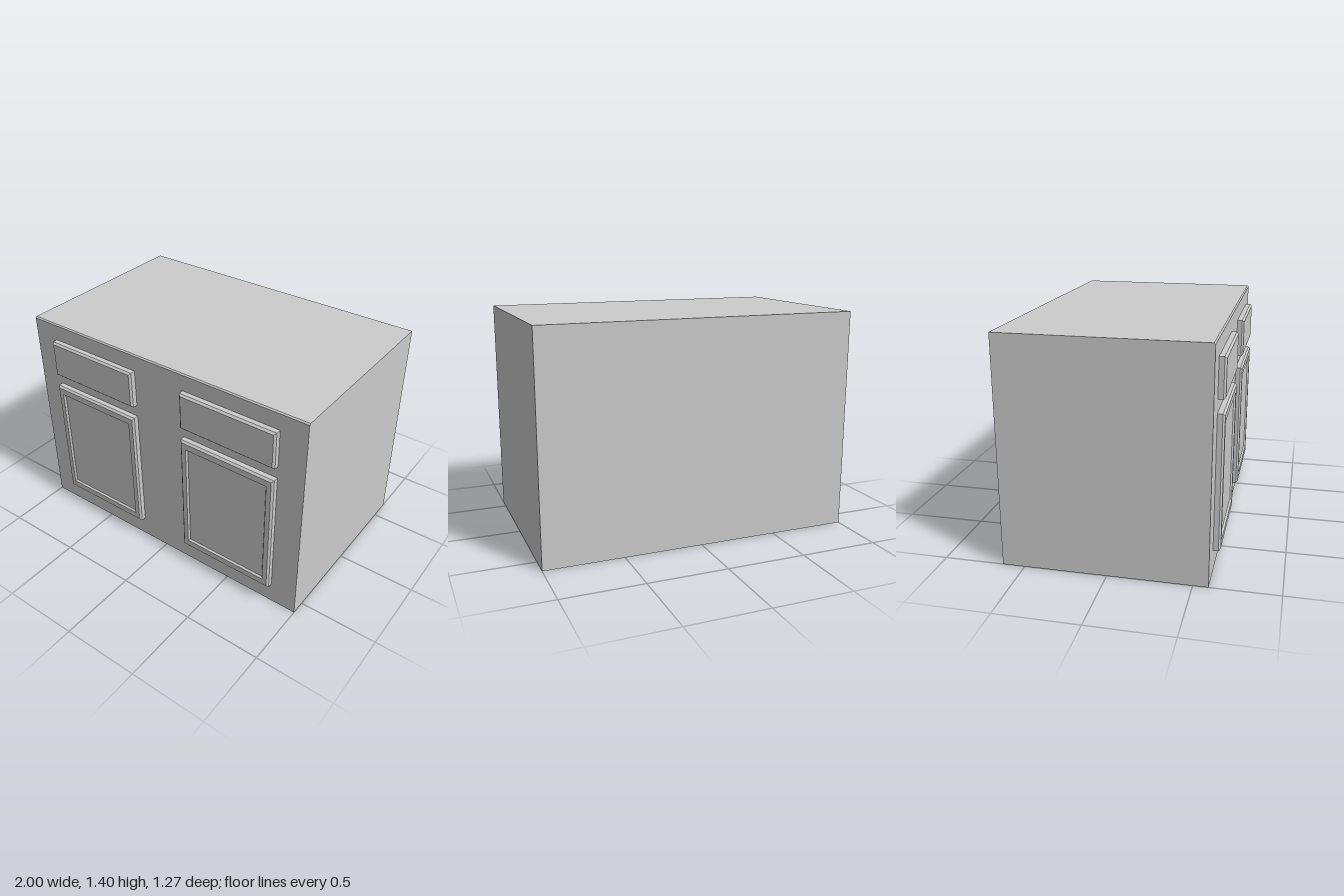
import * as THREE from 'three';

const material = new THREE.MeshStandardMaterial({ color: 0xcccccc, flatShading: true });
const FRONT = 0.59, BACK = -0.635, FACE = 0.633;

// Rectangular panel lofted from back to front through rings of [insetX, insetY, z], capped in front
function panel(name, width, height, rings) {
  const corners = rings.map(([ix, iy, z]) => {
    const x = width / 2 - ix, y = height / 2 - iy;
    return [[-x, -y, z], [x, -y, z], [x, y, z], [-x, y, z]];
  });
  const positions = [];
  const quad = (a, b, c, d) => positions.push(...a, ...b, ...c, ...a, ...c, ...d);
  for (let i = 0; i < corners.length - 1; i++) {
    const r = corners[i], s = corners[i + 1];
    for (let k = 0; k < 4; k++) {
      const n = (k + 1) % 4;
      quad(r[k], r[n], s[n], s[k]);
    }
  }
  quad(...corners[corners.length - 1]);
  const geometry = new THREE.BufferGeometry();
  geometry.setAttribute('position', new THREE.Float32BufferAttribute(positions, 3));
  geometry.computeVertexNormals();
  const mesh = new THREE.Mesh(geometry, material);
  mesh.name = name;
  return mesh;
}

// Cabinet body: side profile with a small bevel on the top front edge, extruded across x
function cabinetBody() {
  const profile = new THREE.Shape([
    [-FRONT, 0], [-BACK, 0], [-BACK, 1.4], [-FRONT + 0.008, 1.4], [-FRONT, 1.392],
  ].map(([x, y]) => new THREE.Vector2(x, y)));
  const geometry = new THREE.ExtrudeGeometry(profile, { depth: 2, bevelEnabled: false });
  geometry.translate(0, 0, -1).rotateY(Math.PI / 2);
  const mesh = new THREE.Mesh(geometry, material);
  mesh.name = 'cabinetBody';
  return mesh;
}

export function createModel() {
  const group = new THREE.Group();
  group.name = 'cabinet';
  group.add(cabinetBody());

  // Shared outer edge with a bevelled front rim
  const edge = [[0, 0, FRONT], [0, 0, FACE - 0.012], [0.012, 0.012, FACE]];
  // Sloped step down to the sunken door panel
  const recess = [[0.043, 0.053, FACE], [0.052, 0.062, FACE - 0.012]];

  for (const [side, sign] of [['left', 1], ['right', -1]]) {
    const drawer = panel(side + 'DrawerFront', 0.65, 0.24, edge);
    drawer.position.set(sign * 0.505, 1.17, 0);
    const door = panel(side + 'Door', 0.65, 0.83, [...edge, ...recess]);
    door.position.set(sign * 0.505, 0.555, 0);
    group.add(drawer, door);
  }
  return group;
}
